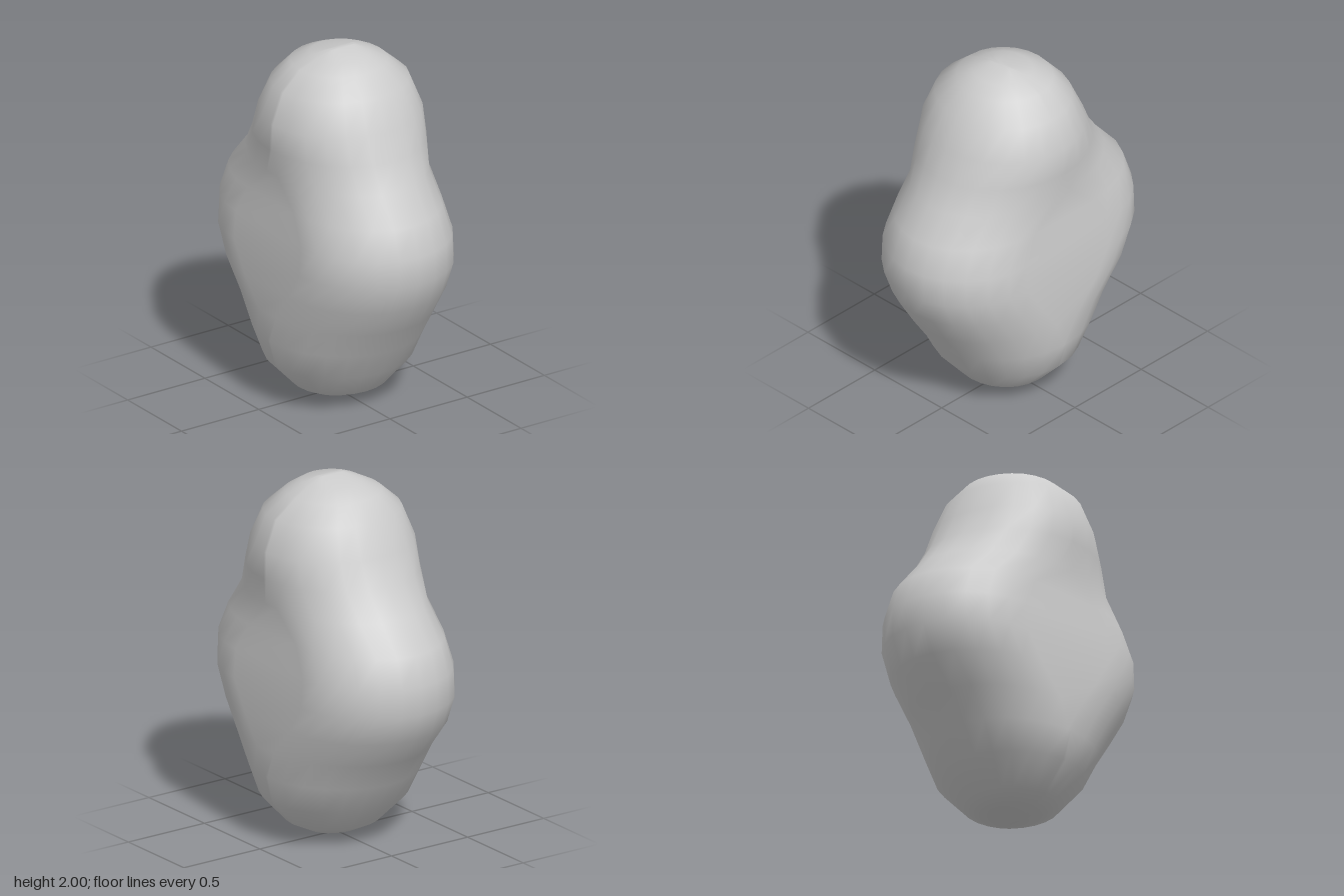
import * as THREE from 'three';

// Cross-sections from bottom to top: [height, half width, front z, back z, end-cap depth]
const SECTIONS = [
  [0.00, 0.07, 0.07, 0.03, 0.02],
  [0.03, 0.16, 0.17, -0.12, 0.15],
  [0.08, 0.26, 0.28, -0.22, 0.25],
  [0.23, 0.40, 0.41, -0.37, 0.39],
  [0.39, 0.445, 0.50, -0.47, 0.48],
  [0.55, 0.455, 0.61, -0.58, 0.52],
  [0.71, 0.455, 0.71, -0.71, 0.51],
  [0.87, 0.45, 0.77, -0.77, 0.47],
  [1.03, 0.44, 0.77, -0.77, 0.47],
  [1.19, 0.42, 0.71, -0.72, 0.50],
  [1.35, 0.42, 0.60, -0.58, 0.54],
  [1.50, 0.445, 0.53, -0.47, 0.49],
  [1.65, 0.44, 0.47, -0.40, 0.44],
  [1.82, 0.375, 0.39, -0.32, 0.36],
  [1.92, 0.26, 0.28, -0.23, 0.26],
  [1.97, 0.16, 0.20, -0.12, 0.16],
  [2.00, 0.08, 0.07, 0.03, 0.02],
];
const HALF = 12; // steps around each rounded end

// One stadium-shaped ring: a rounded front end, then a rounded back end
function ring([y, w, front, back, depth]) {
  const cap = Math.min(depth, (front - back) / 2 - 0.01);
  const points = [];
  for (let end = 0; end < 2; end++) {
    const centre = end === 0 ? front - cap : back + cap;
    for (let k = 0; k <= HALF; k++) {
      const t = -Math.PI / 2 + end * Math.PI + (k / HALF) * Math.PI;
      points.push([w * Math.sin(t), y, centre + cap * Math.cos(t)]);
    }
  }
  return points;
}

function blobGeometry() {
  const n = 2 * (HALF + 1);
  const rows = SECTIONS.length;
  const positions = SECTIONS.flatMap((s) => ring(s).flat());
  const index = [];
  // Skin between neighbouring rings
  for (let i = 0; i < rows - 1; i++) {
    for (let j = 0; j < n; j++) {
      const a = i * n + j;
      const b = i * n + ((j + 1) % n);
      index.push(a, b, b + n, a, b + n, a + n);
    }
  }
  // Close the bottom and the top
  const bottom = rows * n;
  const top = bottom + 1;
  positions.push(0, 0, 0.05, 0, 2, 0.05);
  for (let j = 0; j < n; j++) {
    const k = (j + 1) % n;
    const last = (rows - 1) * n;
    index.push(bottom, k, j, top, last + j, last + k);
  }
  const geometry = new THREE.BufferGeometry();
  geometry.setAttribute('position', new THREE.Float32BufferAttribute(positions, 3));
  geometry.setIndex(index);
  geometry.computeVertexNormals();
  return geometry;
}

export function createModel() {
  const group = new THREE.Group();
  group.name = 'blob';
  const body = new THREE.Mesh(blobGeometry(), new THREE.MeshStandardMaterial({ color: 0xcccccc }));
  body.name = 'body';
  group.add(body);
  return group;
}
